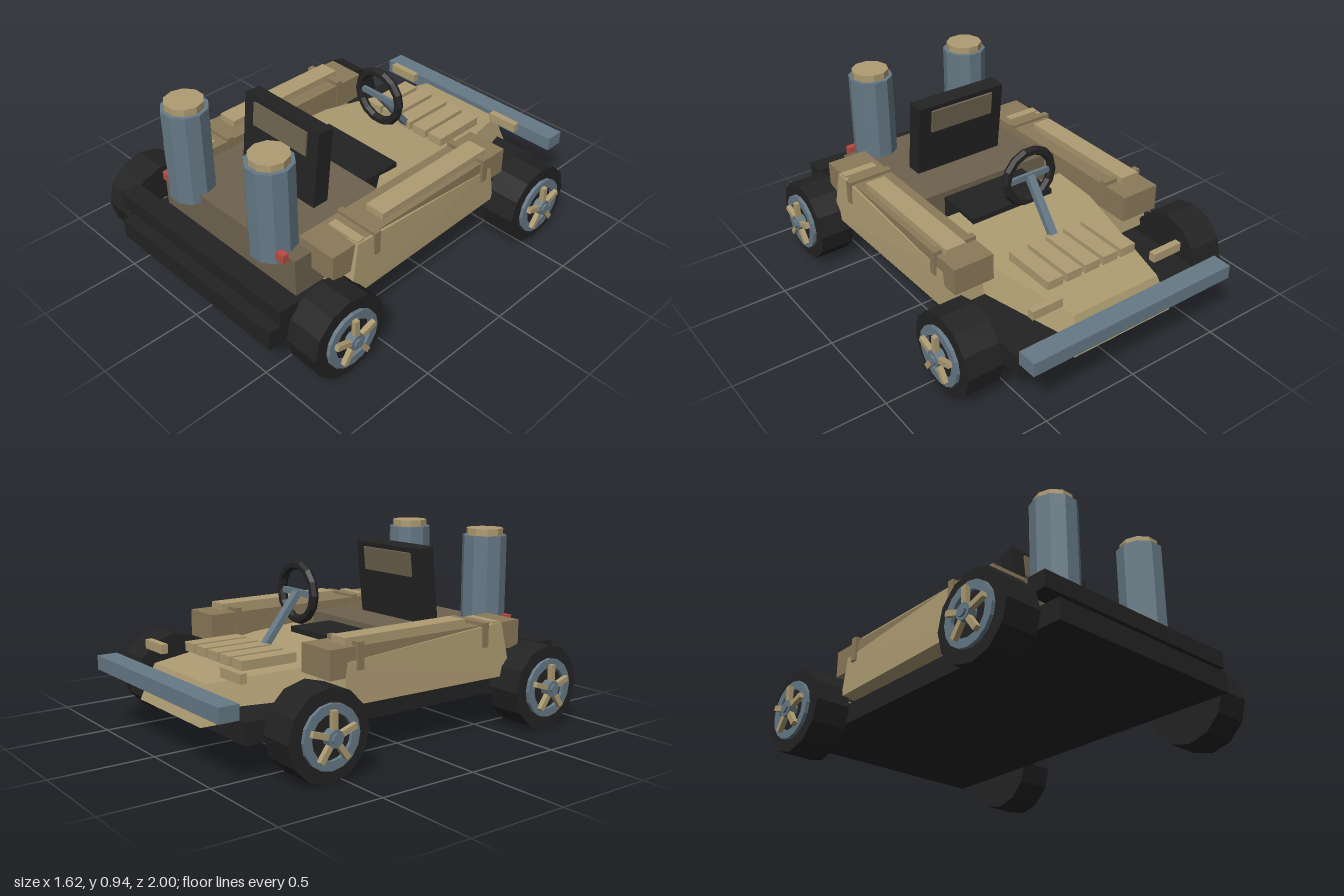
import * as THREE from 'three';
import { ConvexGeometry } from 'three/addons/geometries/ConvexGeometry.js';

const paint = (name, color) => {
  const m = new THREE.MeshStandardMaterial({ color });
  m.name = name;
  m.flatShading = true;
  return m;
};

export function createModel() {
  const tan = paint('tan', 0xae9c72);
  const brown = paint('brown', 0x8b7a5a);
  const darkBrown = paint('darkBrown', 0x6e634f);
  const steel = paint('steel', 0x667986);
  const black = paint('black', 0x232323);
  const red = paint('red', 0xb84a42);

  const root = new THREE.Group();
  root.name = 'kart';

  const add = (name, geometry, material, parent = root) => {
    const mesh = new THREE.Mesh(geometry, material);
    mesh.name = name;
    parent.add(mesh);
    return mesh;
  };
  // Box given by its limits on each axis
  const box = (name, mat, x0, x1, y0, y1, z0, z1, parent = root) => {
    const mesh = add(name, new THREE.BoxGeometry(Math.abs(x1 - x0), y1 - y0, z1 - z0), mat, parent);
    mesh.position.set((x0 + x1) / 2, (y0 + y1) / 2, (z0 + z1) / 2);
    return mesh;
  };
  // Solid block with slanted sides, from its corners
  const block = (name, mat, corners) =>
    add(name, new ConvexGeometry(corners.map((c) => new THREE.Vector3(...c))), mat);
  // Cylinder lying along x
  const disc = (name, mat, r, x0, x1, sides, parent) => {
    const g = new THREE.CylinderGeometry(r, r, x1 - x0, sides).rotateZ(-Math.PI / 2);
    const mesh = add(name, g, mat, parent);
    mesh.position.x = (x0 + x1) / 2;
    return mesh;
  };

  // Chassis and bumpers
  box('chassis', black, -0.535, 0.535, 0.16, 0.26, -0.85, 1);
  box('rearBumper', black, -0.575, 0.575, 0.305, 0.385, 0.865, 0.965);
  box('frontBumper', steel, -0.575, 0.575, 0.29, 0.36, -1, -0.9);

  // Tapered hood with louvres
  const hood = [];
  for (const s of [-1, 1]) {
    hood.push([s * 0.285, 0.19, -0.92], [s * 0.245, 0.365, -0.86],
      [s * 0.51, 0.25, 0.08], [s * 0.445, 0.43, 0.03]);
  }
  block('hood', tan, hood);
  for (let i = -2; i <= 2; i++) {
    const x = i * 0.107;
    box('louvre', tan, x - 0.043, x + 0.043, 0.4, 0.445, -0.69, -0.4);
  }

  // Rear deck
  box('rearDeck', darkBrown, -0.465, 0.465, 0.285, 0.48, 0.16, 0.78);

  // Seat with leaning back and headrest
  box('seatCushion', black, -0.24, 0.24, 0.3, 0.45, -0.09, 0.4);
  const back = new THREE.Group();
  back.name = 'seatBack';
  back.position.set(0, 0.645, 0.41);
  back.rotation.x = -0.11;
  root.add(back);
  box('backrest', black, -0.25, 0.25, -0.22, 0.22, -0.043, 0.043, back);
  box('headrest', darkBrown, -0.18, 0.18, 0.075, 0.195, -0.055, 0.052, back);

  // Steering column and wheel
  const column = box('steeringColumn', steel, -0.02, 0.02, -0.16, 0.16, -0.015, 0.015);
  column.position.set(0, 0.545, -0.315);
  column.rotation.x = Math.atan2(0.19, 0.24);
  const steering = add('steeringWheel', new THREE.TorusGeometry(0.133, 0.023, 6, 14), black);
  steering.position.set(0, 0.67, -0.212);
  box('steeringBar', steel, -0.125, 0.125, 0.655, 0.685, -0.222, -0.204);

  for (const s of [-1, 1]) {
    // Side pod, skirt, top plate and straps
    box('sidePod', brown, s * 0.39, s * 0.6, 0.39, 0.525, -0.465, 0.685);
    block('sideSkirt', tan, [
      [s * 0.4, 0.265, 0.605], [s * 0.63, 0.265, 0.605], [s * 0.4, 0.515, 0.55], [s * 0.615, 0.53, 0.55],
      [s * 0.4, 0.265, -0.4], [s * 0.607, 0.265, -0.4], [s * 0.4, 0.46, -0.37], [s * 0.602, 0.46, -0.37],
    ]);
    box('podTopPlate', tan, s * 0.465, s * 0.57, 0.52, 0.56, -0.36, 0.35);
    box('frontStrap', brown, s * 0.388, s * 0.615, 0.42, 0.545, -0.325, -0.29);
    box('rearStrap', brown, s * 0.386, s * 0.625, 0.42, 0.54, 0.42, 0.455);
    box('podTab', tan, s * 0.425, s * 0.605, 0.5, 0.535, 0.5, 0.545);

    // Front marker bar and tail light
    box('frontMarker', tan, s * 0.27, s * 0.435, 0.395, 0.44, -0.81, -0.775);
    box('tailLight', red, s * 0.38, s * 0.43, 0.465, 0.508, 0.783, 0.815);

    // Upright exhaust stack
    const stack = add('exhaustStack', new THREE.CylinderGeometry(0.113, 0.113, 0.475, 10).rotateY(Math.PI / 2), steel);
    stack.position.set(s * 0.29, 0.6725, 0.747);
    const cap = add('stackCap', new THREE.CylinderGeometry(0.094, 0.094, 0.045, 10).rotateY(Math.PI / 2), tan);
    cap.position.set(s * 0.29, 0.9225, 0.747);

    // Wheels with rim, spokes and hub
    for (const z of [-0.58, 0.73]) {
      const wheel = new THREE.Group();
      wheel.name = z < 0 ? 'frontWheel' : 'rearWheel';
      wheel.position.set(0, 0.208, z);
      wheel.rotation.y = s < 0 ? Math.PI : 0;
      root.add(wheel);
      disc('tyre', black, 0.208, 0.575, 0.755, 12, wheel);
      disc('axle', steel, 0.025, 0.5, 0.81, 8, wheel);
      disc('hub', steel, 0.04, 0.75, 0.8, 10, wheel);
      const ring = new THREE.Shape().absarc(0, 0, 0.145, 0, Math.PI * 2);
      ring.holes.push(new THREE.Path().absarc(0, 0, 0.103, 0, Math.PI * 2, true));
      const rimGeo = new THREE.ExtrudeGeometry(ring, { depth: 0.03, bevelEnabled: false, curveSegments: 8 });
      add('rim', rimGeo.rotateY(Math.PI / 2), steel, wheel).position.x = 0.743;
      for (let i = 0; i < 5; i++) {
        const g = new THREE.BoxGeometry(0.025, 0.085, 0.026).translate(0.783, 0.0755, 0);
        add('spoke', g.rotateX((i * Math.PI * 2) / 5), tan, wheel);
      }
    }
  }
  return root;
}
